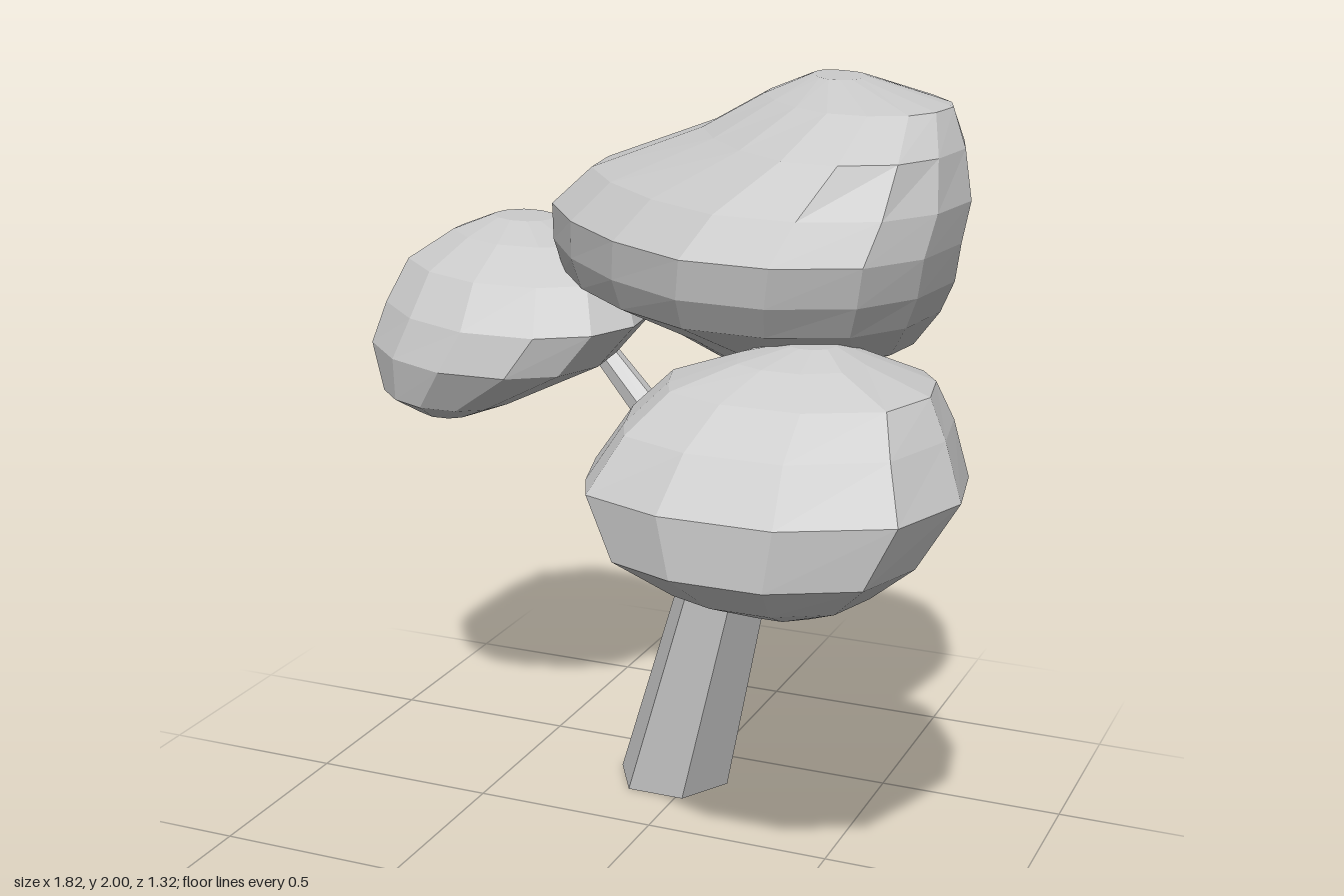
import * as THREE from 'three';

const grey = new THREE.MeshStandardMaterial({ color: 0xcccccc, flatShading: true });

function addMesh(group, name, geometry) {
  const flat = geometry.toNonIndexed();
  flat.computeVertexNormals();
  const mesh = new THREE.Mesh(flat, grey);
  mesh.name = name;
  group.add(mesh);
}

// Foliage clump: one plan outline [x, z], fitted into the box of each level [y, xMin, xMax, zMin, zMax]
function clump(outline, levels) {
  const box = new THREE.Box2().setFromPoints(outline.map(([x, z]) => new THREE.Vector2(x, z)));
  const size = box.getSize(new THREE.Vector2());
  const n = outline.length;
  const positions = [];
  const index = [];
  for (const [y, x0, x1, z0, z1] of levels) {
    for (const [x, z] of outline) {
      positions.push(
        x0 + ((x - box.min.x) / size.x) * (x1 - x0), y,
        z0 + ((z - box.min.y) / size.y) * (z1 - z0));
    }
  }
  // Centre points of the two end caps
  const bottom = levels.length * n;
  for (const [y, x0, x1, z0, z1] of [levels[0], levels.at(-1)]) {
    positions.push((x0 + x1) / 2, y, (z0 + z1) / 2);
  }
  const last = (levels.length - 1) * n;
  for (let j = 0; j < n; j++) {
    const k = (j + 1) % n;
    for (let row = 0; row < last; row += n) {
      index.push(row + k, row + j, row + n + j, row + k, row + n + j, row + n + k);
    }
    index.push(bottom, j, k, bottom + 1, last + k, last + j);
  }
  const geometry = new THREE.BufferGeometry();
  geometry.setAttribute('position', new THREE.Float32BufferAttribute(positions, 3));
  geometry.setIndex(index);
  return geometry;
}

// Tapered six-sided branch between two points
function branch(from, to, r0, r1) {
  const a = new THREE.Vector3(...from);
  const b = new THREE.Vector3(...to);
  const dir = b.clone().sub(a);
  const geometry = new THREE.CylinderGeometry(r1, r0, dir.length(), 6);
  geometry.applyQuaternion(new THREE.Quaternion().setFromUnitVectors(
    new THREE.Vector3(0, 1, 0), dir.normalize()));
  const mid = a.add(b).multiplyScalar(0.5);
  return geometry.translate(mid.x, mid.y, mid.z);
}

export function createModel() {
  const tree = new THREE.Group();
  tree.name = 'tree';

  // Leaning trunk, sheared so that its foot stays flat on the ground
  const height = 1.32;
  const trunk = new THREE.CylinderGeometry(0.088, 0.16, height, 6)
    .rotateY(Math.PI / 6).translate(0, height / 2, 0);
  trunk.applyMatrix4(new THREE.Matrix4().set(
    1, 0.28, 0, -0.06,
    0, 1, 0, 0,
    0, 0.138, 1, -0.325,
    0, 0, 0, 1));
  addMesh(tree, 'trunk', trunk);

  // Side branches
  addMesh(tree, 'rightBranch', branch([0.14, 0.81, -0.24], [-0.4, 1.24, -0.48], 0.055, 0.032));
  addMesh(tree, 'leftBranch', branch([0.25, 0.815, -0.18], [0.42, 0.98, 0.2], 0.06, 0.034));

  // Large crown
  addMesh(tree, 'crown', clump(
    [[-0.38, -0.37], [-0.33, -0.56], [-0.1, -0.66], [0.17, -0.62], [0.4, -0.55], [0.56, -0.47],
      [0.73, -0.26], [0.79, -0.1], [0.76, 0.12], [0.66, 0.28], [0.46, 0.37], [0.23, 0.36],
      [0, 0.22], [-0.2, 0.03], [-0.35, -0.18]],
    [[1.28, 0.08, 0.46, -0.33, -0.06], [1.35, -0.12, 0.63, -0.53, 0.07], [1.46, -0.35, 0.72, -0.61, 0.3],
      [1.54, -0.38, 0.755, -0.655, 0.35], [1.64, -0.37, 0.775, -0.62, 0.37], [1.74, -0.26, 0.79, -0.59, 0.31],
      [1.86, 0.05, 0.765, -0.54, 0.23], [1.95, 0.21, 0.72, -0.43, 0.06], [2, 0.33, 0.48, -0.33, -0.15]]));

  // Clump on the right branch
  addMesh(tree, 'rightClump', clump(
    [[-0.91, -0.31], [-0.87, -0.49], [-0.7, -0.64], [-0.47, -0.64], [-0.3, -0.55], [-0.16, -0.38],
      [-0.14, -0.2], [-0.2, -0.05], [-0.33, 0.04], [-0.54, 0.05], [-0.74, -0.04], [-0.9, -0.2]],
    [[1.04, -0.76, -0.59, -0.28, -0.1], [1.09, -0.85, -0.47, -0.35, -0.01], [1.21, -0.91, -0.22, -0.57, 0.05],
      [1.32, -0.88, -0.13, -0.62, 0.03], [1.43, -0.845, -0.19, -0.64, -0.07], [1.51, -0.73, -0.29, -0.58, -0.19],
      [1.55, -0.63, -0.45, -0.48, -0.32]]));

  // Clump on the left branch
  addMesh(tree, 'leftClump', clump(
    [[-0.01, 0.3], [0.1, 0.05], [0.3, -0.08], [0.6, -0.1], [0.79, -0.03], [0.87, 0.09],
      [0.91, 0.3], [0.83, 0.53], [0.58, 0.66], [0.3, 0.66], [0.09, 0.58], [0.04, 0.47]],
    [[0.86, 0.43, 0.63, 0.28, 0.53], [0.89, 0.24, 0.72, 0.16, 0.59], [0.97, 0.08, 0.82, 0.04, 0.66],
      [1.12, -0.01, 0.905, -0.09, 0.66], [1.25, 0.07, 0.85, -0.1, 0.58], [1.34, 0.16, 0.8, -0.05, 0.47],
      [1.4, 0.33, 0.64, 0.06, 0.36], [1.43, 0.45, 0.56, 0.13, 0.25]]));

  return tree;
}
